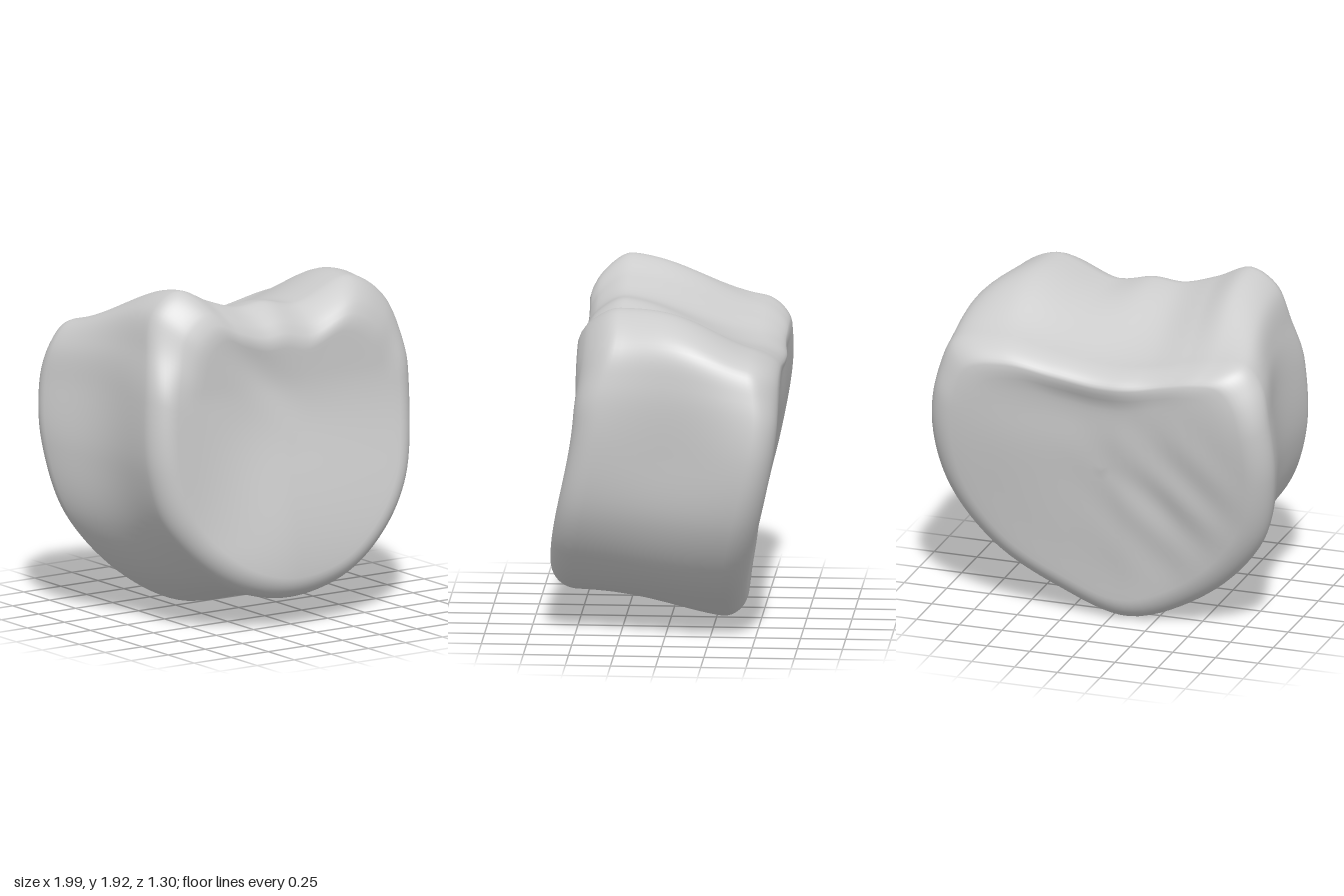
import * as THREE from 'three';

// Matching outlines (x, y), counter-clockwise from the bottom, at three depths
const FRONT = [[-.08, .17], [.3, .24], [.58, .45], [.78, .75], [.86, 1.15], [.85, 1.5], [.78, 1.73], [.55, 1.87], [.2, 1.76], [-.02, 1.8],
  [-.2, 1.79], [-.4, 1.85], [-.6, 1.93], [-.76, 1.83], [-.83, 1.6], [-.88, 1.35], [-.88, .95], [-.76, .6], [-.42, .27]];
const MIDDLE = [[-.08, .1], [.32, .2], [.63, .4], [.84, .72], [.91, 1.12], [.92, 1.5], [.86, 1.72], [.6, 1.82], [.25, 1.71], [0, 1.68],
  [-.22, 1.67], [-.42, 1.74], [-.6, 1.81], [-.77, 1.75], [-.85, 1.58], [-.88, 1.35], [-.89, .95], [-.79, .57], [-.47, .22]];
const BACK = [[-.1, 0], [.33, .14], [.68, .36], [.92, .7], [1, 1.1], [.95, 1.43], [.87, 1.59], [.6, 1.64], [.28, 1.59], [0, 1.55],
  [-.25, 1.56], [-.45, 1.6], [-.65, 1.64], [-.83, 1.64], [-.93, 1.53], [-.985, 1.3], [-1, .98], [-.9, .57], [-.55, .19]];

const smooth = THREE.MathUtils.smoothstep;
const bump = (x, y, cx, cy, rx, ry) => Math.exp(-(((x - cx) / rx) ** 2) - ((y - cy) / ry) ** 2);

// Sloping front face, set back at one lower side, slightly hollow with a slanted groove
const frontZ = (x, y, inside) => 0.65 - 0.16 * smooth(y, 0.3, 1.4)
  - 0.09 * smooth(-x, 0.05, 0.65) * (1 - smooth(y, 0.5, 1.3))
  - inside * (0.015 * bump(x, y, -0.05, 1.25, 0.5, 0.35)
    + 0.025 * bump(x + y, y - x, 1.27, 1.68, 0.16, 0.4));

// Sloping back face, hollowed in the middle and under the rim, with diagonal folds on one side
const backZ = (x, y, inside) => -0.41 - 0.245 * smooth(y, -0.1, 1.45) + 0.03 * smooth(-x, 0.1, 0.4)
  + inside * (0.06 * bump(x, y, 0.05, 1.05, 0.55, 0.5)
    + 0.03 * bump(x, y, 0.15, 1.33, 0.45, 0.2)
    + 0.008 * Math.sin((x - y) * 16) * bump(x, y, -0.4, 0.8, 0.35, 0.4));

// Profile from front centre to back centre: [scale of outline, depth 0..1]
function makeProfile() {
  const inset = 0.15, depth = 0.13, half = [];
  for (let i = 0; i < 16; i++) half.push([(1 - inset) * i / 16, 0]);
  for (let i = 0; i <= 10; i++) {
    const a = i / 10 * Math.PI / 2;
    half.push([1 - inset + inset * Math.sin(a), depth * (1 - Math.cos(a))]);
  }
  const side = [];
  for (let i = 1; i < 20; i++) side.push([1, depth + (1 - 2 * depth) * i / 20]);
  return [...half, ...side, ...half.map(([q, t]) => [q, 1 - t]).reverse()];
}

function makeBody() {
  const around = 152;
  const curves = [FRONT, MIDDLE, BACK].map(pts =>
    new THREE.CatmullRomCurve3(pts.map(([x, y]) => new THREE.Vector3(x, y, 0)), true));
  const rows = curves.map(c => Array.from({ length: around }, (_, j) => c.getPoint(j / around)));
  const profile = makeProfile();
  const pos = [], index = [];
  profile.forEach(([q, t], i) => {
    // quadratic blend of the three outlines, flaring towards the back
    const u = smooth(t, 0.03, 0.97) ** 1.15;
    const w = [(1 - u) * (1 - 2 * u), 4 * u * (1 - u), u * (2 * u - 1)];
    const cy = 1.05 - 0.12 * u;
    const inside = 1 - smooth(q, 0.65, 1);
    for (let j = 0; j < around; j++) {
      const ox = rows.reduce((s, r, k) => s + r[j].x * w[k], 0);
      const oy = rows.reduce((s, r, k) => s + r[j].y * w[k], 0);
      const x = ox * q, y = cy + (oy - cy) * q;
      // softer rounding of the upper front and back edges
      const soft = smooth(q, 0.72, 1.04) * smooth(oy, 1.35, 1.8);
      const softBack = smooth(q, 0.8, 1) * smooth(oy, 1.3, 1.6);
      const z = THREE.MathUtils.lerp(frontZ(x, y, inside), backZ(x, y, inside), t)
        - 0.13 * soft * (1 - t) ** 2 + 0.04 * softBack * t ** 3;
      pos.push(x, y, z);
      if (i < profile.length - 1) {
        const a = i * around + j, b = i * around + (j + 1) % around;
        index.push(a, a + around, b, b, a + around, b + around);
      }
    }
  });
  const geo = new THREE.BufferGeometry();
  geo.setAttribute('position', new THREE.Float32BufferAttribute(pos, 3));
  geo.setIndex(index);
  geo.computeVertexNormals();
  // share one normal at each cap centre
  const n = geo.attributes.normal, last = (profile.length - 1) * around;
  for (let j = 0; j < around; j++) {
    n.setXYZ(j, 0, 0.2, 0.98);
    n.setXYZ(last + j, 0, -0.2, -0.98);
  }
  return geo;
}

export function createModel() {
  const group = new THREE.Group();
  group.name = 'boneBlock';
  const body = new THREE.Mesh(makeBody(), new THREE.MeshStandardMaterial({ color: 0xcccccc }));
  body.name = 'body';
  group.add(body);
  return group;
}
